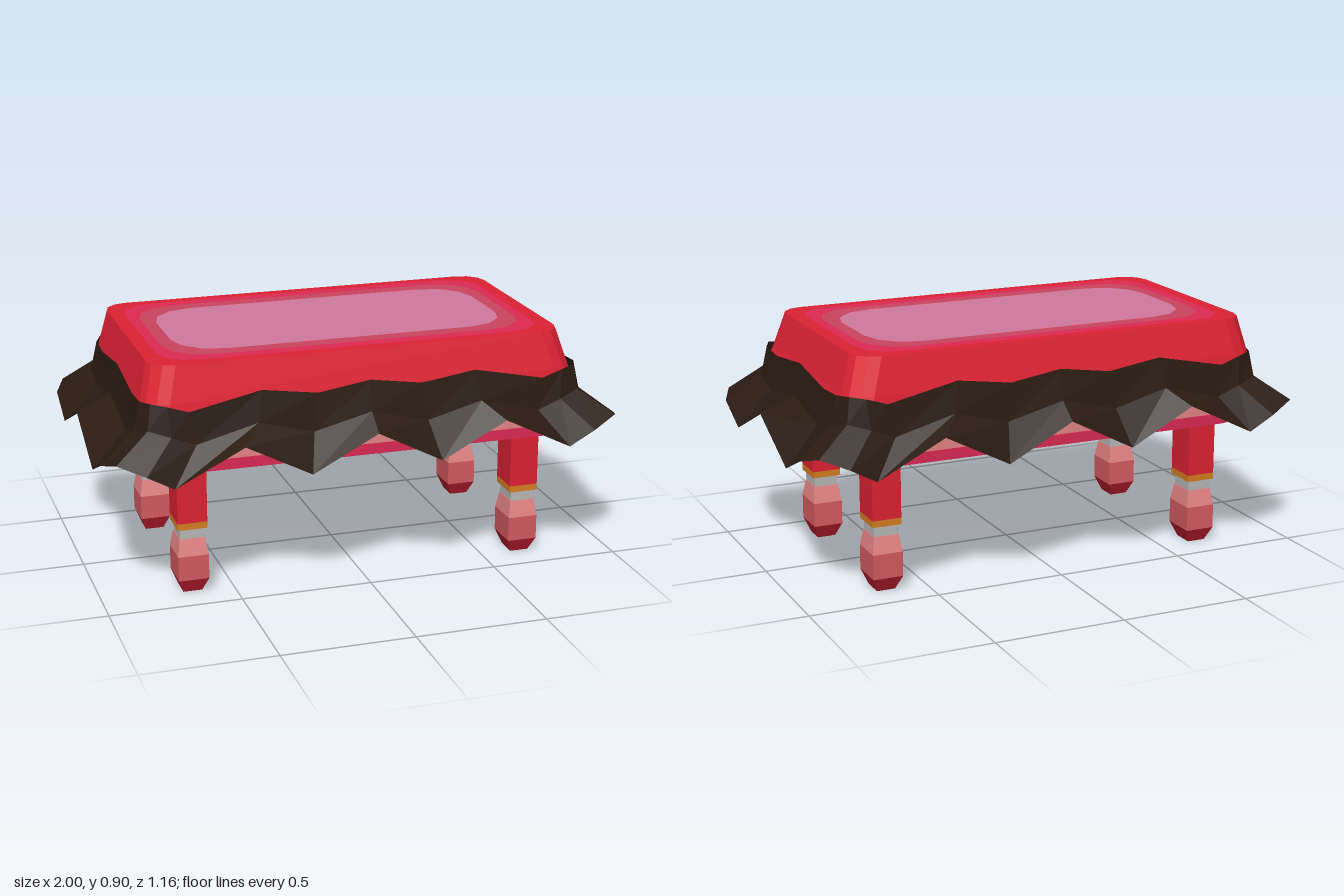
import * as THREE from 'three';

const RED = 0xe02233, MAGENTA = 0xde2a55, SALMON = 0xe58484;

// Rounded rectangle ring, running counter-clockwise seen from above
function ring(hx, hz, r, y, cx = 0) {
  const pts = [], seg = 3;
  const corners = [[1, 1], [1, -1], [-1, -1], [-1, 1]];
  corners.forEach(([sx, sz], q) => {
    for (let i = 0; i <= seg; i++) {
      const t = (q + i / seg) * Math.PI / 2;
      pts.push([cx + sx * (hx - r) + r * Math.sin(t), y, sz * (hz - r) + r * Math.cos(t)]);
    }
  });
  return pts;
}

// Skin over closed rings, with optional caps on the first and last ring
function loft(name, color, rings, { capStart = false, capEnd = false, side = THREE.FrontSide } = {}) {
  const pos = [];
  const tri = (a, b, c) => pos.push(...a, ...b, ...c);
  const n = rings[0].length;
  for (let k = 0; k < rings.length - 1; k++) {
    for (let i = 0; i < n; i++) {
      const j = (i + 1) % n, lo = rings[k], hi = rings[k + 1];
      tri(lo[i], lo[j], hi[j]);
      tri(lo[i], hi[j], hi[i]);
    }
  }
  const first = rings[0], last = rings[rings.length - 1];
  for (let i = 1; i < n - 1; i++) {
    if (capStart) tri(first[0], first[i + 1], first[i]);
    if (capEnd) tri(last[0], last[i], last[i + 1]);
  }
  const geo = new THREE.BufferGeometry();
  geo.setAttribute('position', new THREE.Float32BufferAttribute(pos, 3));
  geo.computeVertexNormals();
  const mesh = new THREE.Mesh(geo, new THREE.MeshStandardMaterial({ color, flatShading: true, side }));
  mesh.name = name;
  return mesh;
}

// Mirrors one quarter of a ring (front centre to side centre) all the way round
function fullRing(quarter) {
  const back = quarter.slice(0, -1).reverse();
  return [
    ...quarter,
    ...back.map(([x, y, z]) => [x, y, -z]),
    ...quarter.slice(1).map(([x, y, z]) => [-x, y, -z]),
    ...back.slice(0, -1).map(([x, y, z]) => [-x, y, z]),
  ];
}

function createCloth() {
  // Hem with hanging points
  const hem = [[0, .62, .58], [.25, .49, .58], [.5, .62, .58], [.76, .49, .58], [.86, .545, .58],
    [.96, .585, .54], [1, .56, .45], [1, .49, .29], [1, .62, 0]];
  // Fold where the cloth swings outwards
  const fold = [[0, .68, .5], [.22, .625, .5], [.43, .68, .5], [.66, .62, .5], [.75, .655, .5],
    [.83, .68, .475], [.868, .66, .4], [.87, .63, .27], [.87, .68, 0]];
  // Wavy upper edge against the cushion
  const top = [[0, .795, .478], [.2, .765, .48], [.41, .795, .478], [.68, .74, .485], [.76, .765, .48],
    [.815, .775, .46], [.842, .77, .4], [.842, .762, .27], [.84, .795, 0]];
  return loft('cloth', 0x2a1b12, [hem, fold, top].map(fullRing), { side: THREE.DoubleSide });
}

function createLeg() {
  const leg = new THREE.Group();
  leg.name = 'leg';
  // Square sections: name, colour, bottom y, half x, half z, top y, half x, half z
  const sections = [
    ['legPost', RED, .28, .056, .066, .5, .056, .066],
    ['legBand', 0xd88020, .255, .056, .066, .28, .056, .066],
    ['legNeck', 0xbbbbbb, .215, .046, .054, .255, .046, .054],
    ['footShoulder', SALMON, .15, .058, .07, .215, .048, .056],
    ['footBody', 0xd65c62, .055, .058, .07, .15, .058, .07],
    ['footTip', 0xd02235, 0, .036, .043, .055, .058, .07],
  ];
  for (const [name, color, y0, x0, z0, y1, x1, z1] of sections) {
    leg.add(loft(name, color, [ring(x0, z0, .001, y0), ring(x1, z1, .001, y1)],
      { capStart: true, capEnd: true }));
  }
  return leg;
}

export function createModel() {
  const model = new THREE.Group();
  model.name = 'table';

  // Base rim with a recess cut into its underside
  model.add(loft('baseRim', MAGENTA, [
    ring(.6, .21, .004, .65), ring(.6, .21, .004, .49),
    ring(.77, .435, .05, .49), ring(.77, .435, .05, .53), ring(.75, .41, .05, .53),
  ], { capStart: true }));

  // Body between rim and cushion
  model.add(loft('body', SALMON, [
    ring(.765, .43, .05, .53), ring(.76, .425, .05, .68), ring(.852, .49, .09, .68),
  ]));

  // Cushion side and the flat coloured bands on its top
  const cx = -.015;
  const edge = ring(.79, .442, .09, .905, cx);
  const bandA = ring(.735, .4, .13, .905, cx);
  const bandB = ring(.695, .35, .16, .905, cx);
  const panel = ring(.645, .29, .17, .905, cx);
  model.add(loft('cushionSide', RED, [
    ring(.852, .49, .09, .68), ring(.826, .475, .09, .77, -.01), edge,
  ]));
  model.add(loft('cushionEdge', 0xdd2233, [edge, bandA]));
  model.add(loft('outerBand', MAGENTA, [bandA, bandB]));
  model.add(loft('innerBand', 0xcc4462, [bandB, panel]));
  model.add(loft('topPanel', 0xd27a9e, [panel, ring(.3, .1, .05, .905, cx)], { capEnd: true }));

  model.add(createCloth());

  // Four legs
  for (const sx of [-1, 1]) for (const sz of [-1, 1]) {
    const leg = createLeg();
    leg.position.set(sx * .657, 0, sz * .328);
    model.add(leg);
  }
  return model;
}
